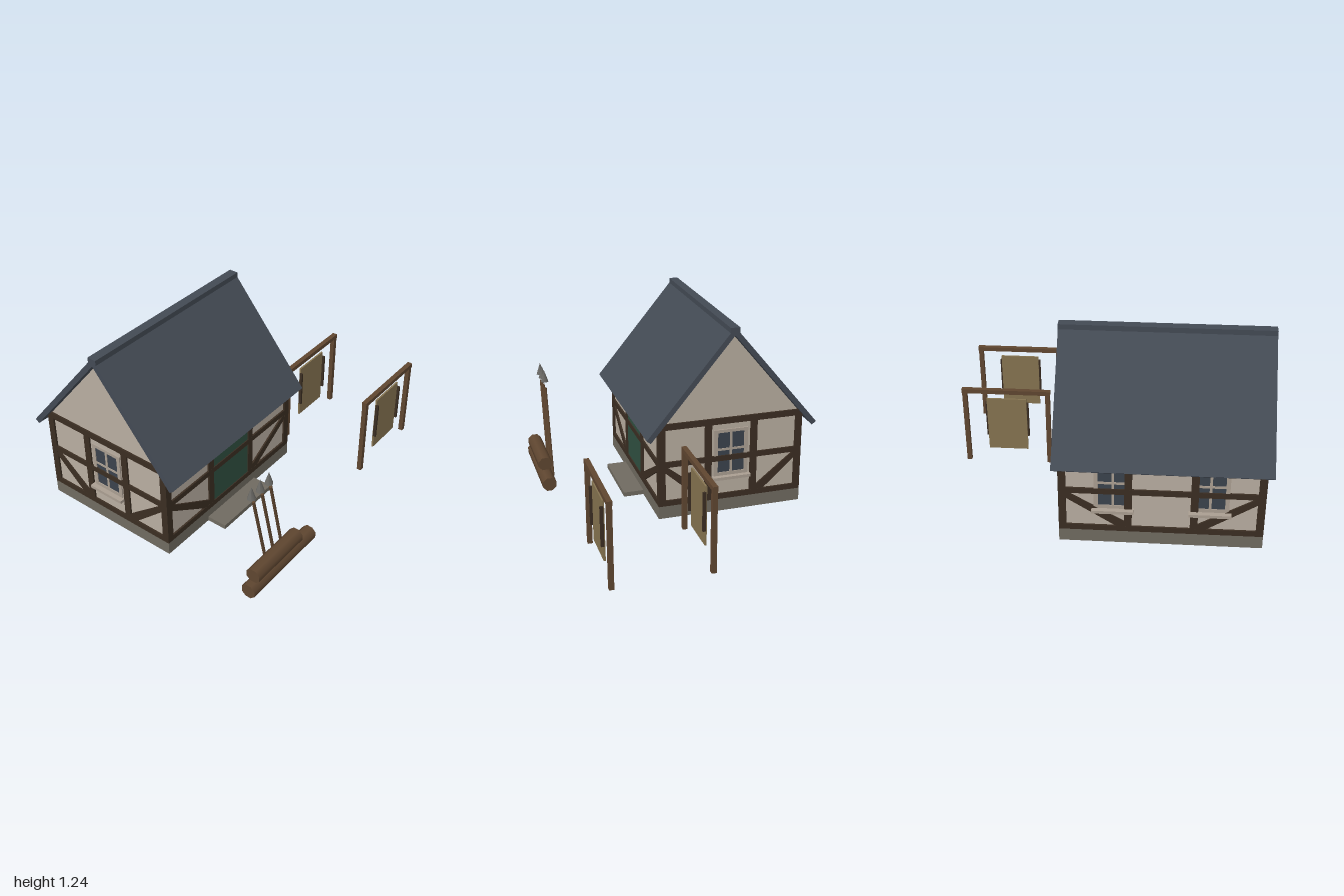
import * as THREE from 'three';

const material = (name, color) => {
  const m = new THREE.MeshStandardMaterial({ color });
  m.name = name;
  return m;
};

export function createModel() {
  const plaster = material('plaster', 0xb8ada0);
  const timber = material('dark timber', 0x3a2d22);
  const slate = material('roof slate', 0x434a54);
  const green = material('door green', 0x2f4f40);
  const stone = material('stone', 0x6f6a60);
  const wood = material('brown wood', 0x5f4630);
  const hide = material('hide', 0x857350);
  const glass = material('window glass', 0x3a424c);
  const trim = material('window trim', 0xaa9e91);
  const iron = material('iron', 0x6b6a66);

  const model = new THREE.Group();
  model.name = 'timberHouse';

  const add = (parent, name, geometry, mat) => {
    const mesh = new THREE.Mesh(geometry, mat);
    mesh.name = name;
    parent.add(mesh);
    return mesh;
  };
  // Box given by its lower and upper bounds
  const box = (parent, name, mat, x0, x1, y0, y1, z0, z1) => {
    const mesh = add(parent, name, new THREE.BoxGeometry(x1 - x0, y1 - y0, z1 - z0), mat);
    mesh.position.set((x0 + x1) / 2, (y0 + y1) / 2, (z0 + z1) / 2);
    return mesh;
  };
  // Polygon extruded along z, starting at z0
  const prism = (parent, name, mat, points, z0, depth) => {
    const shape = new THREE.Shape(points.map(([x, y]) => new THREE.Vector2(x, y)));
    const mesh = add(parent, name, new THREE.ExtrudeGeometry(shape, { depth, bevelEnabled: false }), mat);
    mesh.position.z = z0;
    return mesh;
  };

  // ---- House, built around its own centre ----
  const house = new THREE.Group();
  house.name = 'house';
  house.position.set(-0.352, 0, -0.277);
  model.add(house);
  const W = 0.617, D = 0.483, P = 0.046, INSET = 0.012;

  box(house, 'foundation', stone, -W, W, 0, 0.085, -D, D);
  box(house, 'doorStep', stone, -0.24, 0.24, 0, 0.03, D, 0.617);
  box(house, 'walls', plaster, -W + INSET, W - INSET, 0.085, 0.62, -D + INSET, D - INSET);
  for (const sx of [-1, 1]) for (const sz of [-1, 1]) {
    const post = box(house, 'cornerPost', timber, -P / 2, P / 2, 0.085, 0.625, -P / 2, P / 2);
    post.position.x = sx * (W - P / 2);
    post.position.z = sz * (D - P / 2);
  }

  // Gable infill and roof, swept along the length of the house
  const gable = prism(house, 'gableWall', plaster,
    [[-0.45, 0.615], [0.45, 0.615], [0.45, 0.648], [0, 1.188], [-0.45, 0.648]],
    0, 2 * (W - INSET));
  gable.rotation.y = Math.PI / 2;
  gable.position.set(-W + INSET, 0, 0);
  const roof = prism(house, 'roof', slate,
    [[0.54, 0.544], [0.567, 0.565], [0.028, 1.212], [-0.028, 1.212], [-0.567, 0.565], [-0.54, 0.544], [0, 1.193]],
    0, 1.295);
  roof.rotation.y = Math.PI / 2;
  roof.position.set(-0.648, 0, 0);
  box(house, 'ridgeCap', slate, -0.648, 0.647, 1.2, 1.243, -0.03, 0.03);

  // Window in the plane of a wall, centred on u
  const addWindow = (side, u) => {
    const w = new THREE.Group();
    w.name = 'window';
    w.position.x = u;
    side.add(w);
    box(w, 'glass', glass, -0.09, 0.09, 0.27, 0.548, -0.013, -0.008);
    for (const s of [-1, 1]) {
      box(w, 'frameSide', trim, s * 0.101 - 0.0125, s * 0.101 + 0.0125, 0.247, 0.567, -0.014, -0.003);
      box(w, 'frameEnd', trim, -0.09, 0.09, s > 0 ? 0.546 : 0.247, s > 0 ? 0.567 : 0.272, -0.014, -0.003);
    }
    box(w, 'mullion', trim, -0.008, 0.008, 0.27, 0.548, -0.013, -0.004);
    box(w, 'crossBar', trim, -0.09, 0.09, 0.423, 0.438, -0.013, -0.004);
    box(w, 'sill', trim, -0.127, 0.127, 0.229, 0.249, -0.012, 0.028);
  };

  // Timber framing of one wall; local z = 0 is the outer face
  const addSide = (name, half, distance, angle, windows) => {
    const side = new THREE.Group();
    side.name = name;
    side.rotation.y = angle;
    side.position.set(Math.sin(angle) * distance, 0, Math.cos(angle) * distance);
    house.add(side);
    const end = half - P;
    for (const [y0, y1] of [[0.085, 0.122], [0.353, 0.39], [0.607, 0.648]]) {
      const reach = y0 > 0.6 ? half : end;
      box(side, 'rail', timber, -reach, reach, y0, y1, -0.03, 0);
    }
    const postAt = (2 * half - P) / 6;
    for (const s of [-1, 1]) {
      box(side, 'innerPost', timber, s * postAt - P / 2, s * postAt + P / 2, 0.085, 0.625, -0.03, -0.0005);
      const inner = postAt + P / 2;
      prism(side, 'brace', timber,
        [[s * inner, 0.12], [s * (inner + 0.045), 0.12], [s * end, 0.315], [s * end, 0.355], [s * (end - 0.01), 0.355], [s * inner, 0.155]],
        -0.025, 0.024);
    }
    windows.forEach((u) => addWindow(side, u));
    return side;
  };
  const front = addSide('frontFraming', W, D, 0, []);
  box(front, 'door', green, -0.178, 0.178, 0.12, 0.61, -0.014, -0.006);
  addSide('backFraming', W, D, Math.PI, [-0.29, 0.29]);
  addSide('leftFraming', D, W, Math.PI / 2, [0]);
  addSide('rightFraming', D, W, -Math.PI / 2, [0]);

  // ---- Two hide-drying racks ----
  for (const z of [0.086, 0.694]) {
    const rack = new THREE.Group();
    rack.name = 'dryingRack';
    rack.position.set(0.705, 0, z);
    model.add(rack);
    box(rack, 'beam', wood, -0.295, 0.295, 0.527, 0.556, -0.016, 0.016);
    box(rack, 'hidePanel', hide, -0.133, 0.133, 0.098, 0.485, -0.006, 0.006);
    for (const s of [-1, 1]) {
      box(rack, 'post', wood, s * 0.277 - 0.015, s * 0.277 + 0.015, 0, 0.53, -0.015, 0.015);
      box(rack, 'edgeStrip', timber, s * 0.137 - 0.007, s * 0.137 + 0.007, 0.197, 0.45, 0.002, 0.022);
    }
  }

  // ---- Log pile ----
  for (const [x0, x1, y] of [[-0.96, -0.335, 0.053], [-0.915, -0.48, 0.14]]) {
    const log = add(model, 'log', new THREE.CylinderGeometry(0.049, 0.049, x1 - x0, 8), wood);
    log.rotation.set(Math.PI / 8, 0, Math.PI / 2, 'ZYX');
    log.rotation.set(0, 0, Math.PI / 2);
    log.geometry.rotateY(Math.PI / 8);
    log.position.set((x0 + x1) / 2, y, 0.8);
  }

  // ---- Three leaning spears ----
  for (let i = 0; i < 3; i++) {
    const spear = new THREE.Group();
    spear.name = 'spear';
    spear.position.set(-0.535 - 0.081 * i, 0, 0.742);
    model.add(spear);
    const bottom = new THREE.Vector3(0, 0.02, 0), top = new THREE.Vector3(-0.142, 0.625, 0);
    const dir = top.clone().sub(bottom);
    const shaft = add(spear, 'shaft', new THREE.CylinderGeometry(0.01, 0.01, dir.length(), 6), wood);
    shaft.position.copy(bottom).add(top).multiplyScalar(0.5);
    shaft.quaternion.setFromUnitVectors(new THREE.Vector3(0, 1, 0), dir.normalize());
    const tip = add(spear, 'spearTip', new THREE.ConeGeometry(0.027, 0.083, 6), iron);
    tip.position.set(-0.161, 0.703, 0);
  }
  return model;
}
